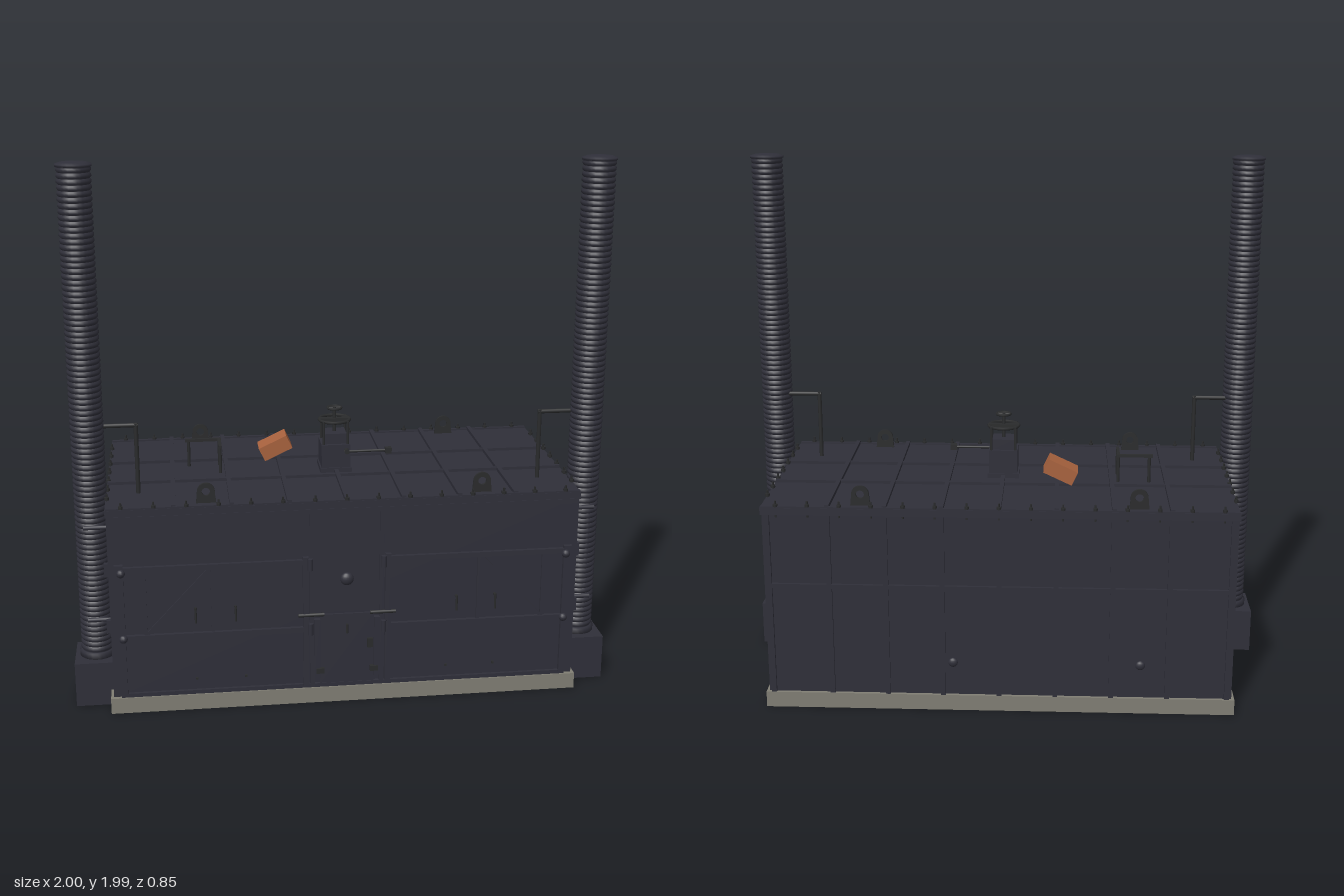
import * as THREE from 'three';

const mat = (name, color) => {
  const m = new THREE.MeshStandardMaterial({ color });
  m.name = name;
  return m;
};

export function createModel() {
  const root = new THREE.Group();
  root.name = 'furnaceBuilding';
  const steel = mat('dark steel', 0x2f2f39);
  const iron = mat('black iron', 0x2a2b2c);
  const stone = mat('concrete', 0x807e74);
  const clay = mat('brick orange', 0xa8623e);

  const add = (name, geo, m, x = 0, y = 0, z = 0, parent = root) => {
    const mesh = new THREE.Mesh(geo, m);
    mesh.name = name;
    mesh.position.set(x, y, z);
    parent.add(mesh);
    return mesh;
  };
  // Box given by its limits on each axis
  const span = (name, x0, x1, y0, y1, z0, z1, m = steel) =>
    add(name, new THREE.BoxGeometry(x1 - x0, y1 - y0, z1 - z0), m, (x0 + x1) / 2, (y0 + y1) / 2, (z0 + z1) / 2);
  // Round bar between two points
  const rod = (name, a, b, r, m = iron, seg = 8) => {
    const p = new THREE.Vector3(...a), q = new THREE.Vector3(...b);
    const d = q.clone().sub(p);
    const mesh = add(name, new THREE.CylinderGeometry(r, r, d.length(), seg), m);
    mesh.position.copy(p).add(q).multiplyScalar(0.5);
    mesh.quaternion.setFromUnitVectors(new THREE.Vector3(0, 1, 0), d.normalize());
    return mesh;
  };

  // Slab, walls and roof
  span('baseSlab', -0.87, 0.87, 0, 0.06, -0.42, 0.415, stone);
  span('body', -0.85, 0.85, 0.06, 0.765, -0.408, 0.4);
  span('roofPlate', -0.862, 0.862, 0.76, 0.787, -0.423, 0.408);

  // Roof ribs
  const ribX = [-0.62, -0.413, -0.207, 0, 0.207, 0.413, 0.62];
  ribX.forEach(x => span('roofRib', x - 0.008, x + 0.008, 0.785, 0.8, -0.42, 0.405));
  [-0.12, 0.12].forEach(z => span('roofCrossRib', -0.86, 0.86, 0.785, 0.798, z - 0.008, z + 0.008));
  [-0.415, 0.4].forEach(z => span('roofEdge', -0.86, 0.86, 0.785, 0.793, z - 0.007, z + 0.007));

  // Bolts around the roof edge
  const bolt = (x, z) => {
    add('roofBolt', new THREE.CylinderGeometry(0.004, 0.004, 0.062, 6), iron, x, 0.782, z);
    add('roofNut', new THREE.CylinderGeometry(0.009, 0.009, 0.01, 6), iron, x, 0.796, z);
  };
  for (let i = 0; i < 15; i++) {
    const x = -0.805 + i * 0.115;
    bolt(x, -0.417);
    bolt(x, 0.403);
  }
  for (let i = 0; i < 7; i++) {
    const z = -0.3 + i * 0.1;
    bolt(0.857, z);
    bolt(-0.857, z);
  }

  // Back wall ribs and knobs
  [-0.84, ...ribX, 0.84].forEach(x => span('backRib', x - 0.009, x + 0.009, 0.06, 0.76, -0.419, -0.405));
  span('backRail', -0.85, 0.85, 0.477, 0.493, -0.419, -0.405);
  [0.17, -0.52].forEach(x => {
    const k = add('backKnob', new THREE.SphereGeometry(0.018, 16, 8), steel, x, 0.19, -0.412);
    k.scale.z = 0.6;
  });

  for (const s of [-1, 1]) {
    const sx = (name, a, b, y0, y1, z0, z1, m) =>
      span(name, Math.min(a * s, b * s), Math.max(a * s, b * s), y0, y1, z0, z1, m);

    // Side wall ribs and knobs
    [-0.4, -0.13, 0.13, 0.392].forEach(z => sx('sideRib', 0.848, 0.859, 0.06, 0.76, z - 0.008, z + 0.008));
    sx('sideRail', 0.848, 0.859, 0.477, 0.493, -0.408, 0.4);
    [0, -0.235].forEach(z => {
      const k = add('sideKnob', new THREE.SphereGeometry(0.021, 16, 8), steel, s * 0.852, 0.62, z);
      k.scale.x = 0.6;
    });

    // Front doors: frame, cross bars, brace and handles
    sx('doorPost', 0.807, 0.838, 0.07, 0.58, 0.398, 0.415);
    sx('doorInnerPost', 0.14, 0.162, 0.07, 0.58, 0.398, 0.415);
    [0.56, 0.295].forEach(y => sx('doorRail', 0.15, 0.83, y - 0.01, y + 0.01, 0.398, 0.413));
    [0.49, 0.733].forEach(x => sx('doorStile', x - 0.006, x + 0.006, 0.3, 0.56, 0.398, 0.408));
    const brace = add('doorBrace', new THREE.BoxGeometry(0.335, 0.012, 0.01), steel, s * 0.612, 0.43, 0.403);
    brace.rotation.z = -s * 0.82;
    [0.408, 0.553].forEach(x => {
      rod('doorHandle', [s * x, 0.345, 0.415], [s * x, 0.405, 0.415], 0.004);
      rod('handleStud', [s * x, 0.398, 0.398], [s * x, 0.398, 0.417], 0.005);
    });
    [0.55, 0.295].forEach(y => {
      add('doorHinge', new THREE.SphereGeometry(0.016, 12, 8), steel, s * 0.815, y, 0.412);
      rod('doorLatch', [s * 0.135, y - 0.02, 0.415], [s * 0.135, y + 0.025, 0.415], 0.01, steel);
    });
    [0.36, 0.37, 0.55].forEach((x, i) => i && sx('doorBolt', x, x + 0.008, 0.115, 0.123, 0.398, 0.407, iron));

    // Centre panel border and lower door jambs
    sx('centrePost', 0.12, 0.137, 0.06, 0.75, 0.398, 0.41);
    sx('jamb', 0.1, 0.122, 0.1, 0.335, 0.398, 0.418);
    rod('jambLatch', [s * 0.085, 0.353, 0.412], [s * 0.18, 0.353, 0.412], 0.007);
    sx('jambHinge', 0.085, 0.115, 0.12, 0.14, 0.398, 0.423, iron);

    // Corner latches next to the stacks
    [0.55, 0.33].forEach(y => add('cornerLatch', new THREE.BoxGeometry(0.025, 0.05, 0.02), steel, s * 0.862, y, 0.37));

    // Chimney: box foot, collar, ribbed pipe and domed cap
    sx('chimneyFoot', 0.845, 1, 0, 0.17, 0.15, 0.34);
    const prof = [[0, 0.165], [0.066, 0.165], [0.066, 0.19], [0.057, 0.192]];
    const rings = 88;
    for (let i = 0; i < rings; i++) {
      const y = 0.195 + i * 0.0202;
      prof.push([0.055, y], [0.06, y + 0.006], [0.06, y + 0.014], [0.055, y + 0.0195]);
    }
    prof.push([0.063, 1.972], [0.063, 1.98], [0.045, 1.986], [0, 1.99]);
    const pipe = new THREE.LatheGeometry(prof.map(p => new THREE.Vector2(p[0], p[1])), 24);
    add('chimneyPipe', pipe, steel, s * 0.918, 0, 0.245);

    // Brackets tying the chimney to the wall
    [0.33, 0.69].forEach(y => rod('chimneyBracket', [s * 0.85, y, 0.31], [s * 0.945, y, 0.31], 0.008, steel));

    // Bent vent pipe from roof to chimney
    rod('ventRiser', [s * 0.745, 0.785, 0.225], [s * 0.745, 1.052, 0.225], 0.008);
    rod('ventElbow', [s * 0.738, 1.045, 0.225], [s * 0.88, 1.045, 0.225], 0.008);

    // Lifting eyes: rounded plates with a hole
    const eye = new THREE.Shape();
    eye.moveTo(-0.036, 0);
    eye.lineTo(0.036, 0);
    eye.lineTo(0.032, 0.035);
    eye.absarc(0, 0.042, 0.032, 0, Math.PI, false);
    const hole = new THREE.Path();
    hole.absarc(0, 0.042, 0.015, 0, Math.PI * 2, true);
    eye.holes.push(hole);
    const eyeGeo = new THREE.ExtrudeGeometry(eye, { depth: 0.01, bevelEnabled: false, curveSegments: 12 });
    [-0.383, 0.353].forEach(z => add('liftingEye', eyeGeo, iron, s * 0.503, 0.787, z));
  }

  // Centre panel: rail, small door, sight glass and lock
  span('centrePlate', -0.12, 0.12, 0.36, 0.75, 0.398, 0.404);
  span('smallDoor', -0.1, 0.1, 0.07, 0.35, 0.398, 0.408);
  span('lowerSill', -0.83, 0.83, 0.06, 0.075, 0.398, 0.41);
  span('upperSill', -0.85, 0.85, 0.745, 0.762, 0.398, 0.41);
  const knob = add('sightPort', new THREE.SphereGeometry(0.025, 20, 10), steel, 0, 0.487, 0.404);
  knob.scale.z = 0.7;
  rod('doorPull', [0, 0.275, 0.413], [0, 0.31, 0.413], 0.005);
  span('doorLock', 0.075, 0.095, 0.215, 0.25, 0.4, 0.42, iron);

  // L-shaped hand rail on the roof
  [[-0.555, -0.065], [-0.438, -0.065], [-0.438, 0.03]].forEach(([x, z]) =>
    rod('railPost', [x, 0.785, z], [x, 0.89, z], 0.006));
  span('railBar', -0.568, -0.43, 0.885, 0.896, -0.071, -0.059, iron);
  span('railSideBar', -0.444, -0.432, 0.885, 0.896, -0.071, 0.036, iron);

  // Tilted brick-coloured box
  add('tiltedBox', new THREE.BoxGeometry(0.118, 0.056, 0.093), clay, -0.22, 0.847, -0.105).rotation.z = 0.44;

  // Damper valve on the roof: housing, yoke, stem and handwheel
  const vz = 0.02;
  span('valveBase', -0.06, 0.06, 0.785, 0.805, vz - 0.06, vz + 0.06);
  span('valveHousing', -0.055, 0.055, 0.8, 0.895, vz - 0.055, vz + 0.055);
  span('valveCap', -0.042, 0.042, 0.895, 0.935, vz - 0.042, vz + 0.042);
  for (const x of [-0.046, 0.046])
    for (const z of [-0.046, 0.046])
      rod('yokePost', [x, 0.89, vz + z], [x, 0.985, vz + z], 0.005);
  const yoke = new THREE.TorusGeometry(0.058, 0.006, 6, 24).rotateX(Math.PI / 2);
  add('yokeRing', yoke, iron, 0, 0.982, vz);
  span('yokeBar', -0.058, 0.058, 0.976, 0.988, vz - 0.012, vz + 0.012, iron);
  rod('valveStem', [0, 0.93, vz], [0, 1.03, vz], 0.007);
  const wheel = new THREE.TorusGeometry(0.026, 0.005, 6, 20).rotateX(Math.PI / 2);
  add('handwheel', wheel, iron, 0, 1.027, vz);
  rod('wheelSpoke', [-0.026, 1.027, vz], [0.026, 1.027, vz], 0.004);

  // Lever with counterweight
  rod('leverArm', [0.03, 0.872, 0.088], [0.2, 0.872, 0.088], 0.005);
  rod('leverPivot', [0.04, 0.872, 0.07], [0.04, 0.872, 0.095], 0.01);
  add('leverWeight', new THREE.BoxGeometry(0.024, 0.022, 0.022), iron, 0.198, 0.872, 0.088);

  return root;
}
